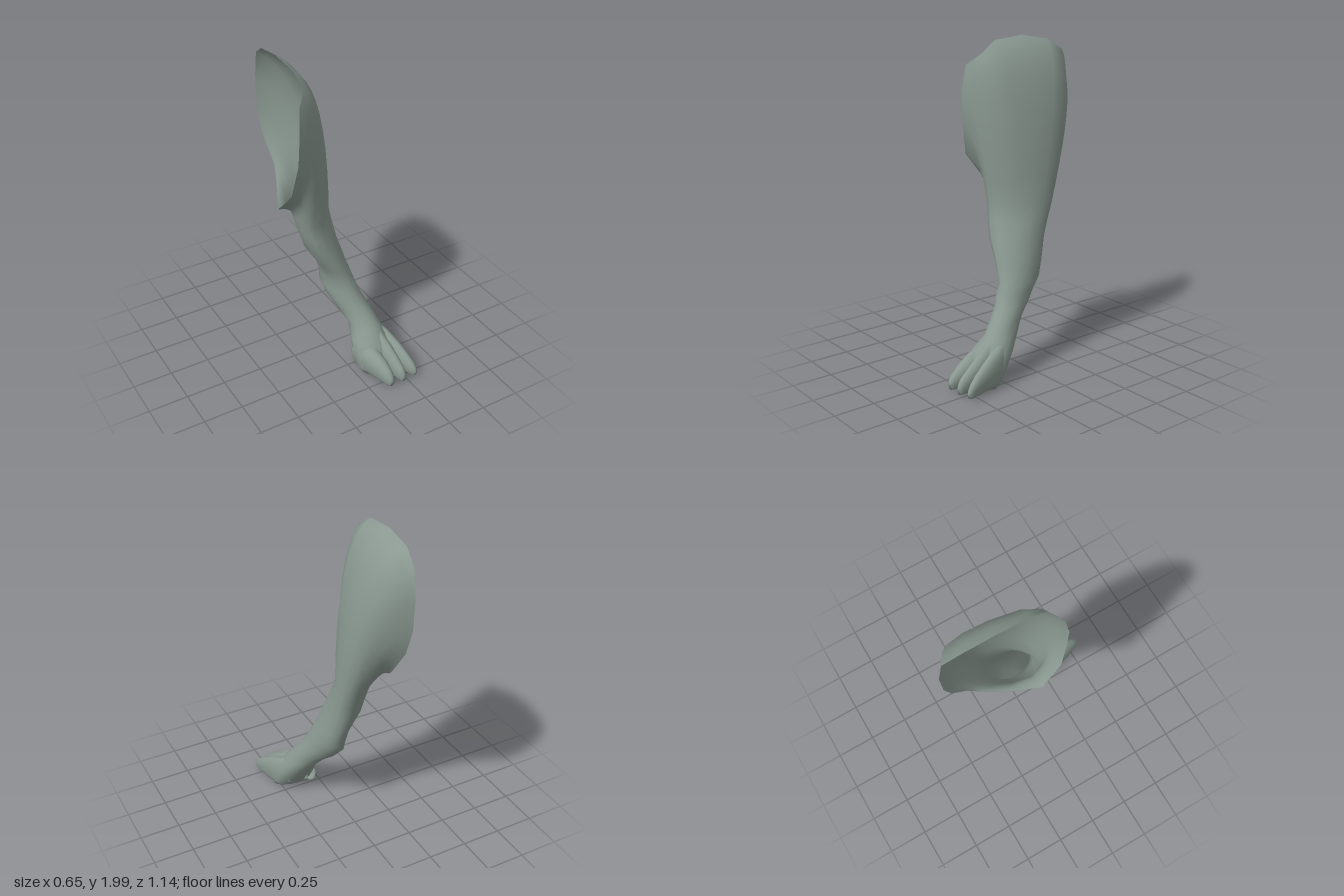
import * as THREE from 'three';

const COLS = 16;

// Joins closed rings of points into one smooth skin
function loft(rings, material, name) {
  const pos = rings.flat(2);
  const index = [];
  for (let i = 0; i < rings.length - 1; i++) {
    for (let j = 0; j < COLS; j++) {
      const k = (j + 1) % COLS;
      const a = i * COLS + j, b = i * COLS + k;
      const c = a + COLS, d = b + COLS;
      index.push(a, c, b, b, c, d);
    }
  }
  const geo = new THREE.BufferGeometry();
  geo.setAttribute('position', new THREE.Float32BufferAttribute(pos, 3));
  geo.setIndex(index);
  geo.computeVertexNormals();
  const mesh = new THREE.Mesh(geo, material);
  mesh.name = name;
  return mesh;
}

const around = (fn) => Array.from({ length: COLS }, (_, j) => fn((j / COLS) * Math.PI * 2));

// Level slice of the leg: height, x range, z range, sideways skew along z
function legRing([y, x0, x1, z0, z1, skew = 0]) {
  const hx = (x1 - x0) / 2, hz = (z1 - z0) / 2;
  const rx = Math.sqrt(Math.max(0, hx * hx - (skew * hz) ** 2));
  return around((t) => {
    const dz = Math.sin(t) * hz;
    return [(x0 + x1) / 2 + Math.cos(t) * rx + skew * dz, y, (z0 + z1) / 2 + dz];
  });
}

// Upright slice of a toe: z, centre x, half width, bottom, top
function toeRing([z, x, w, bottom, top]) {
  const h = (top - bottom) / 2;
  return around((t) => {
    const s = -Math.sin(t);
    // fuller underside so the pad sits flat
    const v = s < 0 ? -Math.pow(-s, 0.6) : s;
    return [x + Math.cos(t) * w, bottom + h + v * h, z];
  });
}

export function createModel() {
  const group = new THREE.Group();
  group.name = 'animalLeg';
  const skin = new THREE.MeshStandardMaterial({ color: 0x8a9891 });
  skin.name = 'greyGreenSkin';
  skin.side = THREE.DoubleSide;

  // Sole, heel, hock and shin
  const rings = [
    [0.012, 0.17, 0.17, 0.35, 0.35],
    [0.012, 0.05, 0.28, 0.29, 0.42],
    [0.05, 0.027, 0.288, 0.235, 0.43],
    [0.13, 0.02, 0.285, 0.185, 0.42],
    [0.2, 0.03, 0.268, 0.14, 0.385],
    [0.28, 0.055, 0.235, 0.085, 0.31, 0.1],
    [0.36, 0.02, 0.205, 0.02, 0.25, 0.2],
    [0.43, -0.012, 0.18, -0.06, 0.195, 0.2],
    [0.5, -0.03, 0.158, -0.12, 0.168, 0.15],
    [0.56, -0.022, 0.148, -0.155, 0.14, 0.05],
    [0.66, -0.055, 0.125, -0.18, 0.125, -0.1],
    [0.8, -0.142, 0.1, -0.22, 0.105, -0.25],
    [0.9, -0.173, 0.09, -0.25, 0.085, -0.35],
    [1.0, -0.2, 0.085, -0.285, 0.07, -0.4],
  ].map(legRing);

  // Open rim where the thigh meets the body, from the top round the front
  const rim = [
    [-0.2, 2.0, -0.24], [-0.2, 1.98, -0.03], [-0.19, 1.91, 0.07], [-0.26, 1.84, 0.14],
    [-0.275, 1.68, 0.165], [-0.28, 1.5, 0.155], [-0.305, 1.29, 0.115], [-0.325, 1.14, -0.02],
    [-0.235, 1.1, -0.2], [-0.17, 1.13, -0.33], [-0.14, 1.2, -0.41], [-0.16, 1.36, -0.51],
    [-0.17, 1.52, -0.555], [-0.17, 1.72, -0.567], [-0.17, 1.9, -0.54], [-0.19, 1.97, -0.43],
  ];

  // Thigh: each column bends from the shin out to its rim point
  const knee = rings[rings.length - 1];
  const columns = rim.map((r, j) => {
    const k = new THREE.Vector3(...knee[j]);
    const end = new THREE.Vector3(...r);
    const bend = new THREE.Vector3(
      k.x - 0.01,
      THREE.MathUtils.lerp(k.y, end.y, 0.88),
      THREE.MathUtils.lerp(k.z, end.z, 0.62));
    return new THREE.QuadraticBezierCurve3(k, bend, end);
  });
  const STEPS = 10;
  for (let i = 1; i <= STEPS; i++) {
    rings.push(columns.map((c) => c.getPoint(i / STEPS).toArray()));
  }
  group.add(loft(rings, skin, 'leg'));

  // Three tapering toes
  const toes = {
    innerToe: [
      [0.19, 0.085, 0.03, 0.08, 0.18], [0.27, 0.088, 0.068, 0.015, 0.22],
      [0.38, 0.101, 0.064, 0.012, 0.195], [0.47, 0.118, 0.049, 0.012, 0.155],
      [0.53, 0.127, 0.034, 0.012, 0.115], [0.56, 0.129, 0.02, 0.015, 0.085],
      [0.57, 0.13, 0, 0.05, 0.05],
    ],
    middleToe: [
      [0.24, 0.165, 0.04, 0.08, 0.29], [0.31, 0.18, 0.055, 0.012, 0.265],
      [0.4, 0.197, 0.047, 0.012, 0.21], [0.48, 0.208, 0.037, 0.012, 0.155],
      [0.54, 0.216, 0.028, 0.012, 0.11], [0.562, 0.218, 0.016, 0.015, 0.08],
      [0.57, 0.218, 0, 0.05, 0.05],
    ],
    outerToe: [
      [0.22, 0.2, 0.04, 0.08, 0.28], [0.3, 0.235, 0.055, 0.015, 0.245],
      [0.4, 0.266, 0.044, 0.015, 0.195], [0.48, 0.287, 0.034, 0.015, 0.145],
      [0.53, 0.301, 0.025, 0.015, 0.105], [0.555, 0.307, 0.015, 0.02, 0.075],
      [0.563, 0.309, 0, 0.045, 0.045],
    ],
  };
  for (const [name, slices] of Object.entries(toes)) {
    group.add(loft(slices.map(toeRing), skin, name));
  }
  return group;
}
